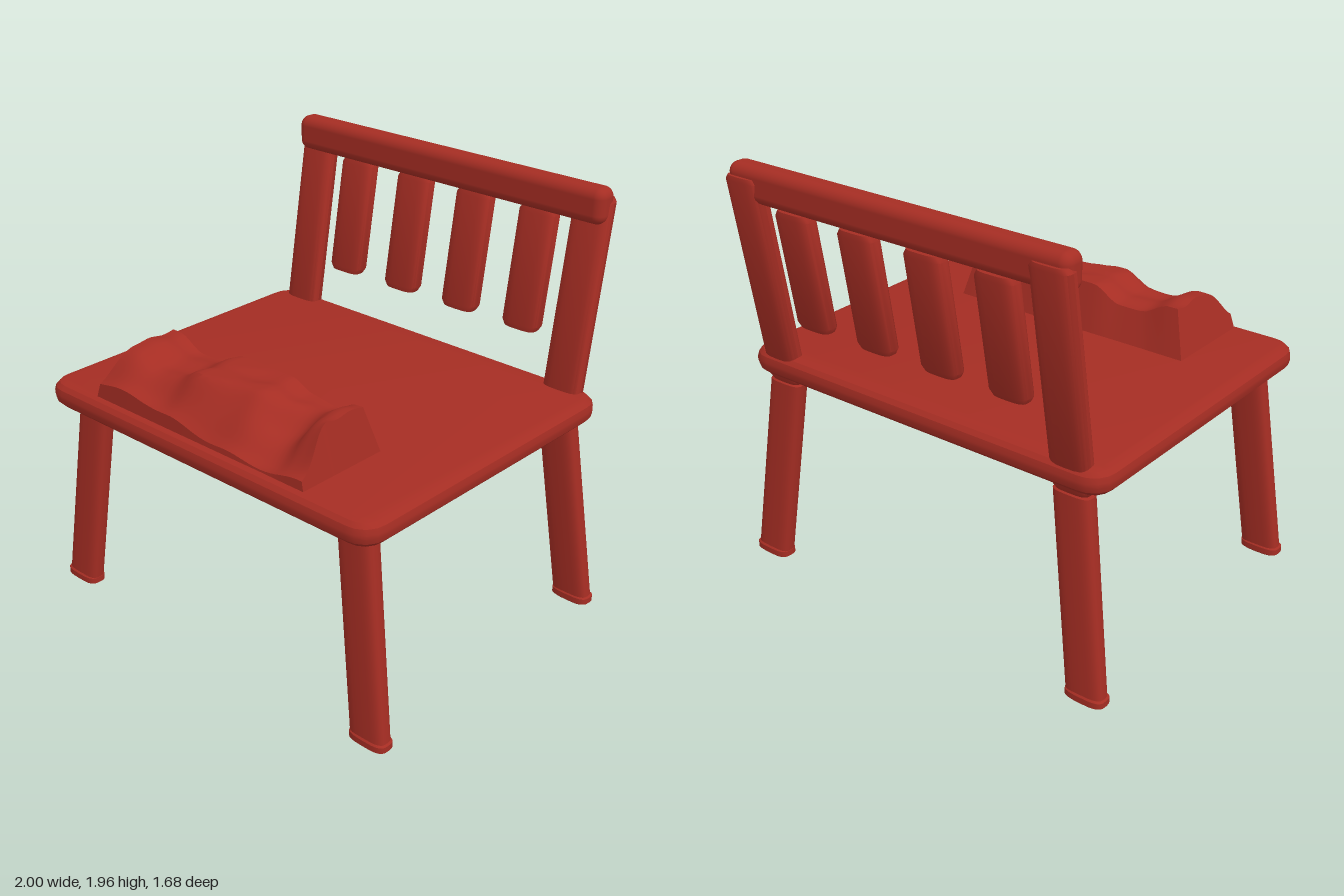
import * as THREE from 'three';
import { toCreasedNormals } from 'three/addons/utils/BufferGeometryUtils.js';
import { RoundedBoxGeometry } from 'three/addons/geometries/RoundedBoxGeometry.js';

const red = new THREE.MeshStandardMaterial({ color: 0xa52d23 });
red.name = 'barnRed';

function part(name, geometry, parent) {
  const mesh = new THREE.Mesh(geometry, red);
  mesh.name = name;
  parent.add(mesh);
  return mesh;
}

// Bar with a squarish oval section, sheared from point a (bottom) to point b (top)
function bar(a, b, width, depth, bevel) {
  const h = b[1] - a[1];
  const profile = [[0, 0], [0.85, 0], [1, bevel], [1, h - bevel], [0.85, h], [0, h]]
    .map(([r, y]) => new THREE.Vector2(r, y));
  const geo = new THREE.LatheGeometry(profile, 24);
  const p = geo.attributes.position;
  for (let i = 0; i < p.count; i++) {
    const x = p.getX(i), z = p.getZ(i), t = p.getY(i) / h;
    const r = Math.hypot(x, z) || 1;
    const square = (v) => Math.sign(v) * Math.pow(Math.abs(v / r), 0.6) * r;
    p.setXYZ(i,
      a[0] + (b[0] - a[0]) * t + square(x) * width / 2,
      a[1] + h * t,
      a[2] + (b[2] - a[2]) * t + square(z) * depth / 2);
  }
  return toCreasedNormals(geo, 0.6);
}

// Seat board with rounded corners and rounded edges
function seatGeometry() {
  const x = 0.91, z0 = -0.79, z1 = 0.67, r = 0.07;
  const s = new THREE.Shape();
  s.moveTo(-x + r, z0);
  s.lineTo(x - r, z0);
  s.quadraticCurveTo(x, z0, x, z0 + r);
  s.lineTo(x, z1 - r);
  s.quadraticCurveTo(x, z1, x - r, z1);
  s.lineTo(-x + r, z1);
  s.quadraticCurveTo(-x, z1, -x, z1 - r);
  s.lineTo(-x, z0 + r);
  s.quadraticCurveTo(-x, z0, -x + r, z0);
  const geo = new THREE.ExtrudeGeometry(s, {
    depth: 0.015, bevelThickness: 0.05, bevelSize: 0.048, bevelSegments: 3, curveSegments: 4,
  });
  geo.rotateX(-Math.PI / 2);
  geo.translate(0, 0.995, 0);
  return toCreasedNormals(geo, 0.5);
}

// Smooth interpolation through [x, value] pairs
function sample(table, x) {
  let i = 0;
  while (i < table.length - 2 && x > table[i + 1][0]) i++;
  const [x0, a] = table[i], [x1, b] = table[i + 1];
  return a + (b - a) * THREE.MathUtils.smoothstep(x, x0, x1);
}

// Crumpled cloth: a height field with a crest at the back and a low front
const crest = [[-0.65, 1.275], [-0.54, 1.27], [-0.4, 1.21], [-0.28, 1.22], [-0.14, 1.272],
  [0.14, 1.275], [0.27, 1.225], [0.4, 1.225], [0.5, 1.27], [0.59, 1.265]];
const hem = [[-0.65, 1.13], [-0.45, 1.145], [-0.2, 1.11], [0.1, 1.085], [0.4, 1.075], [0.59, 1.09]];
const ridge = [[-0.65, 0.66], [-0.4, 0.63], [-0.1, 0.66], [0.18, 0.61], [0.36, 0.47], [0.48, 0.6], [0.59, 0.66]];

function clothHeight(x, z) {
  const start = sample(ridge, x);
  const t = THREE.MathUtils.smoothstep(z, start - 0.04, 0.8);
  const ripple = 0.012 * Math.sin(x * 13 + z * 21) * Math.sin(z * 17 - x * 5);
  return Math.min(1.275, THREE.MathUtils.lerp(sample(crest, x), sample(hem, x), t) + ripple);
}

function clothGeometry() {
  const nx = 44, nz = 20, base = 1.05;
  const geo = new THREE.PlaneGeometry(1, 1, nx, nz);
  geo.rotateX(-Math.PI / 2);
  const p = geo.attributes.position;
  for (let j = 0; j <= nz; j++) {
    for (let i = 0; i <= nx; i++) {
      const u = THREE.MathUtils.clamp((i - 1) / (nx - 2), 0, 1);
      const v = THREE.MathUtils.clamp((j - 1) / (nz - 2), 0, 1);
      const onBase = i === 0 || j === 0 || i === nx || j === nz;
      let z = 0.395 + 0.392 * v;
      // The ends lean inward in proportion to their height
      const left = (clothHeight(-0.6, z) - base) / 0.225;
      const right = (clothHeight(0.55, z) - base) / 0.225;
      let x = THREE.MathUtils.lerp(-0.65 + 0.07 * left, 0.59 - 0.05 * right, u);
      const y = onBase ? base : clothHeight(x, z);
      if (i === 0) x = -0.65;
      if (i === nx) x = 0.59;
      if (j === 0) {
        z = 0.335;
        x = THREE.MathUtils.lerp(-0.65, 0.59, u);
      }
      if (j === nz) {
        z = 0.79;
        x = THREE.MathUtils.lerp(-0.65, 0.59, u);
      }
      p.setXYZ(j * (nx + 1) + i, x, y, z);
    }
  }
  return toCreasedNormals(geo, 0.7);
}

export function createModel() {
  const chair = new THREE.Group();
  chair.name = 'chair';

  part('seat', seatGeometry(), chair);
  part('cloth', clothGeometry(), chair);

  // Splayed legs with small feet, and the two back posts
  for (const [side, s] of [['left', 1], ['right', -1]]) {
    for (const [end, footZ, topZ] of [['Front', 0.737, 0.69], ['Back', -0.69, -0.64]]) {
      const leg = new THREE.Group();
      leg.name = side + end + 'Leg';
      chair.add(leg);
      part('shaft', bar([s * 0.9, 0.03, footZ], [s * 0.785, 0.918, topZ], 0.182, 0.088, 0.004), leg);
      part('foot', bar([s * 0.903, 0, footZ], [s * 0.903, 0.043, footZ], 0.192, 0.1, 0.008), leg);
    }
    part(side + 'BackPost', bar([s * 0.785, 0.92, -0.64], [s * 0.785, 1.91, -0.803], 0.185, 0.09, 0.02), chair);
  }

  // Slats leaning in the plane of the posts
  [-0.523, -0.176, 0.172, 0.52].forEach((x, i) => {
    part('slat' + (i + 1), bar([x, 1.26, -0.696], [x, 1.805, -0.786], 0.19, 0.09, 0.025), chair);
  });

  // Top rail
  const rail = part('topRail', new RoundedBoxGeometry(1.745, 0.162, 0.115, 4, 0.045), chair);
  rail.position.set(0, 1.88, -0.77);

  return chair;
}
